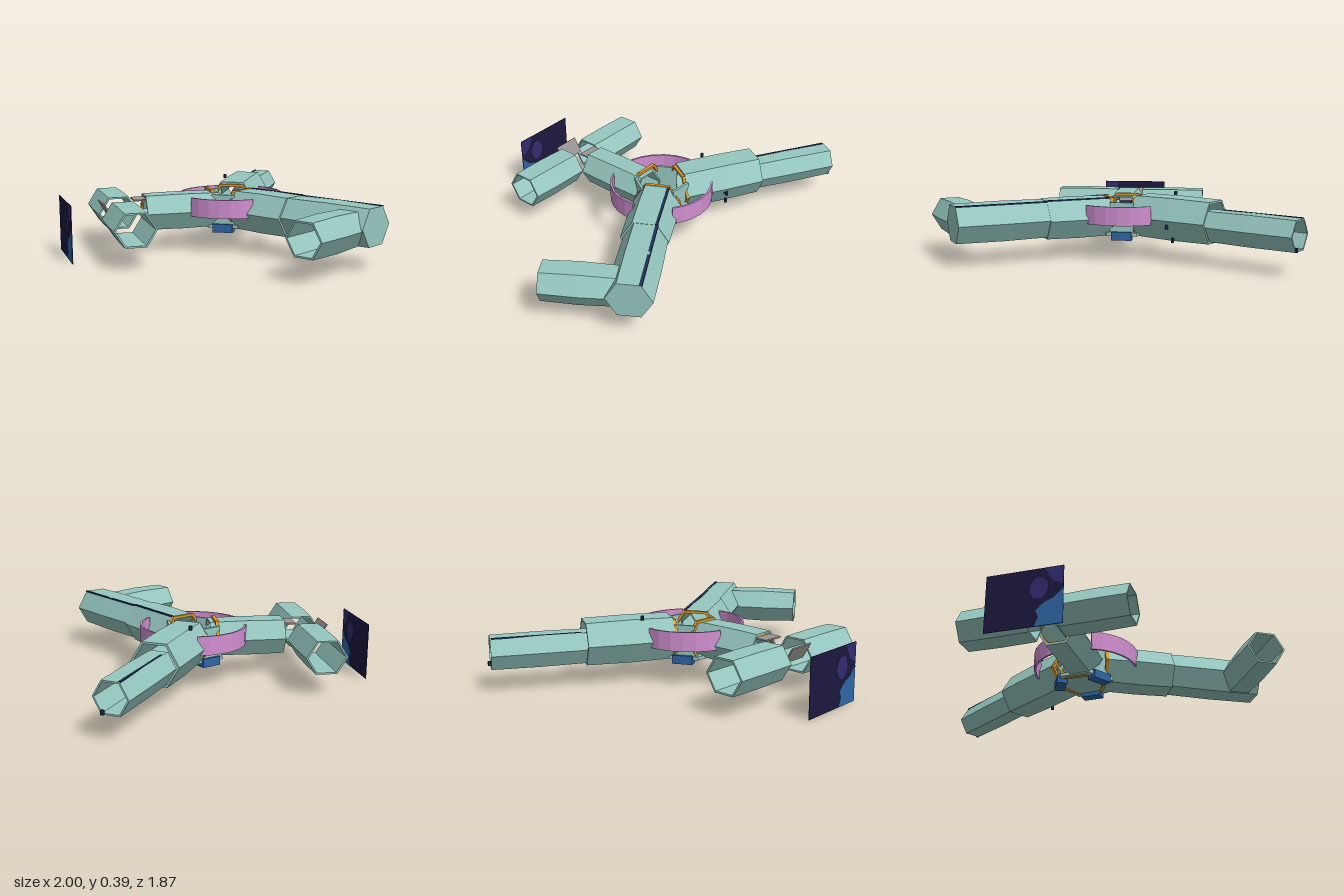
import * as THREE from 'three';

export function createModel() {
  const root = new THREE.Group();
  const mat = (name, color) => {
    const m = new THREE.MeshStandardMaterial({ color, flatShading: true, side: THREE.DoubleSide });
    m.name = name;
    return m;
  };
  const hull = mat('hull teal', 0x96c8c0);
  const pink = mat('ring pink', 0xd08fd0);
  const orange = mat('frame orange', 0xdd9c2c);
  const grey = mat('connector grey', 0x9c9595);
  const blue = mat('panel blue', 0x2f66a6);
  const navy = mat('panel navy', 0x1c1840);
  const indigo = mat('panel indigo', 0x322c70);
  const dark = mat('seam dark blue', 0x1f3054);

  const add = (name, geo, material, x = 0, y = 0, z = 0) => {
    const m = new THREE.Mesh(geo, material);
    m.name = name;
    m.position.set(x, y, z);
    root.add(m);
    return m;
  };

  // Hollow six-sided tube with a flat top, running between two ground points
  function hexTube(name, a, b, y, w, h, { wall = 0.1, cap = false, bulge = 1.03, material = hull } = {}) {
    const dx = b[0] - a[0], dz = b[1] - a[1], len = Math.hypot(dx, dz), ri = 1 - wall;
    const profile = [[ri, 0], [1, 0], [bulge, 0.5], [1, 1]];
    if (cap) profile.push([0, 1], [0, 0.97]);
    profile.push([ri, cap ? 0.97 : 1], [ri, 0]);
    const geo = new THREE.LatheGeometry(profile.map(p => new THREE.Vector2(p[0], p[1])), 6);
    geo.rotateX(Math.PI / 2).rotateZ(Math.PI / 6);
    geo.scale(w, h / 0.866, len).rotateY(Math.atan2(dx, dz));
    return add(name, geo, material, a[0], y, a[1]);
  }

  // Thin bar between two ground points
  function strip(name, a, b, y, width, height, material) {
    const dx = b[0] - a[0], dz = b[1] - a[1];
    const m = add(name, new THREE.BoxGeometry(width, height, Math.hypot(dx, dz)), material,
      (a[0] + b[0]) / 2, y, (a[1] + b[1]) / 2);
    m.rotation.y = Math.atan2(dx, dz);
    return m;
  }

  // Front arm and its side branch
  hexTube('frontArmInner', [-0.025, -0.04], [-0.02, 0.36], 0.24, 0.142, 0.112);
  hexTube('frontArmOuter', [-0.015, 0.35], [0.01, 0.905], 0.245, 0.13, 0.105, { cap: true });
  hexTube('frontBranch', [-0.07, 0.785], [-0.49, 0.815], 0.235, 0.115, 0.095, { bulge: 1.06 });

  // Long right arm in two sizes
  hexTube('rightArmInner', [0.08, -0.235], [0.505, -0.5], 0.248, 0.143, 0.12);
  hexTube('rightArmOuter', [0.46, -0.48], [0.95, -0.77], 0.225, 0.1, 0.087);

  // Left arm and the crosswise pair of tubes at its end
  hexTube('leftArm', [-0.11, -0.18], [-0.5, -0.395], 0.238, 0.118, 0.1);
  hexTube('crossTubeBack', [-0.58, -0.53], [-0.39, -0.885], 0.222, 0.12, 0.095);
  hexTube('crossTubeFront', [-0.67, -0.385], [-0.86, -0.04], 0.222, 0.12, 0.095);

  // Grey connector plates
  strip('topConnector', [-0.49, -0.39], [-0.56, -0.43], 0.315, 0.125, 0.008, grey);
  const side = strip('sideConnector', [-0.74, -0.425], [-0.665, -0.575], 0.265, 0.1, 0.008, grey);
  side.rotation.order = 'YXZ';
  side.rotation.z = Math.PI / 3;

  // Hub floor, gap walls and blue blocks below
  const hx = -0.02, hz = -0.16;
  add('hubFloor', new THREE.CylinderGeometry(0.18, 0.18, 0.02, 6, 1, false, Math.PI / 6), hull, hx, 0.14, hz);
  for (const phi of [Math.PI, Math.PI / 3, -Math.PI / 3]) {
    const s = Math.sin(phi), c = Math.cos(phi);
    const wall = add('hubWall', new THREE.BoxGeometry(0.14, 0.2, 0.015), hull, hx + s * 0.145, 0.23, hz + c * 0.145);
    wall.rotation.y = phi;
    const block = add('hubBlock', new THREE.BoxGeometry(0.12, 0.05, 0.06), blue, hx + s * 0.14, 0.13, hz + c * 0.14);
    block.rotation.y = phi;
  }

  // Orange hexagonal frames at the arm mouths
  const frame = { wall: 0.13, bulge: 1, material: orange };
  hexTube('frontFrame', [-0.025, -0.055], [-0.025, -0.035], 0.24, 0.146, 0.116, frame);
  hexTube('rightFrame', [0.066, -0.226], [0.083, -0.237], 0.24, 0.146, 0.116, frame);
  hexTube('leftFrame', [-0.118, -0.218], [-0.136, -0.228], 0.24, 0.14, 0.114, frame);
  hexTube('leftEndFrame', [-0.485, -0.387], [-0.496, -0.393], 0.238, 0.112, 0.095, frame);

  // Three curved pink bands around the hub
  const band = [[0.3, 0.215], [0.312, 0.215], [0.312, 0.325], [0.3, 0.325], [0.3, 0.215]]
    .map(p => new THREE.Vector2(p[0], p[1]));
  const deg = Math.PI / 180;
  for (const [start, sweep] of [[147, 81], [23, 75], [-94, 73]]) {
    add('ringBand', new THREE.LatheGeometry(band, 6, start * deg, sweep * deg), pink, hx, 0, hz + 0.01);
  }

  // Dark seams along the arm tops
  strip('frontSeamInner', [0.045, -0.03], [0.05, 0.36], 0.353, 0.016, 0.008, dark);
  strip('frontSeamOuter', [0.052, 0.36], [0.073, 0.9], 0.349, 0.018, 0.008, dark);
  strip('rightSeam', [0.5, -0.555], [0.92, -0.808], 0.312, 0.012, 0.008, dark);

  // Small fittings on the right arm
  for (const [x, y, z] of [[0.19, 0.38, -0.4], [0.37, 0.212, -0.255], [0.355, 0.222, -0.262],
    [0.36, 0.13, -0.3], [0.975, 0.15, -0.735]]) {
    add('fitting', new THREE.CylinderGeometry(0.01, 0.01, 0.025, 6), dark, x, y, z);
  }

  // Upright panel with painted patches showing on both faces
  const panel = new THREE.Group();
  panel.name = 'sidePanel';
  panel.position.set(-1, 0, -0.425);
  panel.rotation.y = Math.atan2(0.375, 0.19);
  root.add(panel);
  const patch = (name, pts, thick, material) => {
    const shape = new THREE.Shape(pts.map(p => new THREE.Vector2(p[0], p[1])));
    const m = new THREE.Mesh(new THREE.ExtrudeGeometry(shape, { depth: thick, bevelEnabled: false }), material);
    m.name = name;
    m.position.z = -thick / 2;
    panel.add(m);
  };
  patch('panelBase', [[0, 0], [0.42, 0], [0.42, 0.33], [0, 0.33]], 0.003, navy);
  patch('bluePatch', [[0, 0], [0.15, 0], [0.13, 0.05], [0.145, 0.09], [0.1, 0.13], [0.05, 0.15], [0, 0.2]], 0.005, blue);
  patch('indigoPatch', [[0, 0.22], [0.06, 0.25], [0.1, 0.33], [0, 0.33]], 0.005, indigo);
  const blob = Array.from({ length: 12 }, (_, i) => {
    const t = i * Math.PI / 6;
    return [0.13 + 0.05 * Math.cos(t), 0.215 + 0.065 * Math.sin(t)];
  });
  patch('indigoBlob', blob, 0.006, indigo);

  return root;
}
